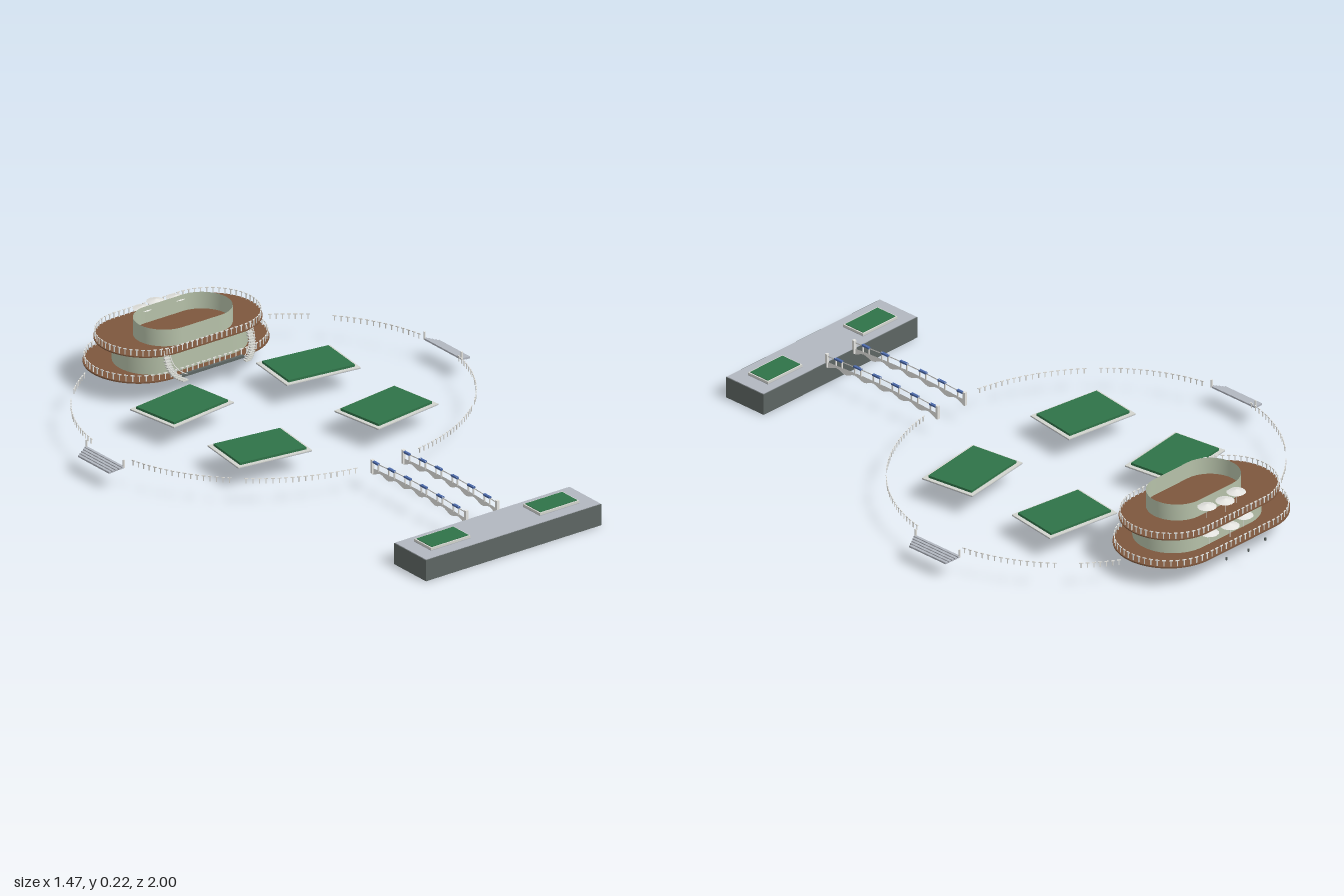
import * as THREE from 'three';
import { mergeGeometries, toCreasedNormals } from 'three/addons/utils/BufferGeometryUtils.js';

const mat = (name, color, side = THREE.FrontSide) => {
  const m = new THREE.MeshStandardMaterial({ color, side });
  m.name = name;
  return m;
};

export function createModel() {
  const root = new THREE.Group();
  root.name = 'lakePlatform';
  const stone = mat('pale stone', 0xb2b7c0);
  const dark = mat('dark stone', 0x5d6563);
  const grass = mat('grass green', 0x2f7348);
  const kerb = mat('kerb grey', 0xd2d4ce);
  const wood = mat('brown deck', 0x7d573d);
  const wall = mat('sage wall', 0xb6c1a9, THREE.DoubleSide);
  const white = mat('off white', 0xe4e4e0, THREE.DoubleSide);
  const blue = mat('blue panel', 0x4a68a8);

  const add = (name, geo, material, parent = root) => {
    const m = new THREE.Mesh(geo, material);
    m.name = name;
    parent.add(m);
    return m;
  };
  // Box given by its centre in x and z and its bottom and top in y
  const box = (w, d, y0, y1, x = 0, z = 0) =>
    new THREE.BoxGeometry(w, y1 - y0, d).translate(x, (y0 + y1) / 2, z);

  // Stadium outline with half width w and half depth d
  const stadium = (w, d) => {
    const s = new THREE.Shape(), k = w - d;
    s.moveTo(-k, -d);
    s.lineTo(k, -d);
    s.absarc(k, 0, d, -Math.PI / 2, Math.PI / 2, false);
    s.lineTo(-k, d);
    s.absarc(-k, 0, d, Math.PI / 2, Math.PI * 1.5, false);
    return s;
  };
  const deck = (name, w, d, y0, y1, z) => add(name, toCreasedNormals(
    new THREE.ExtrudeGeometry(stadium(w, d), { depth: y1 - y0, bevelEnabled: false, curveSegments: 24 })
      .rotateX(-Math.PI / 2).translate(0, y0, z), 0.5), wood);

  // Upright sheet: at(t) gives x, z, bottom and top for t from 0 to 1
  const sheet = (name, n, at, material) => {
    const g = new THREE.PlaneGeometry(1, 1, n, 1), p = g.attributes.position;
    for (let i = 0; i < p.count; i++) {
      const [x, z, y0, y1] = at(p.getX(i) + 0.5);
      p.setXYZ(i, x, p.getY(i) > 0 ? y1 : y0, z);
    }
    g.computeVertexNormals();
    add(name, g, material);
  };

  // Railing: evenly spaced posts, each carrying a short piece of handrail
  const railing = (name, pts, y0, y1, step, closed = false) => {
    const curve = new THREE.CatmullRomCurve3(pts.map(p => new THREE.Vector3(p[0], 0, p[1])), closed);
    const n = Math.round(curve.getLength() / step);
    const parts = [];
    for (let i = 0; i < n; i++) {
      const p = curve.getPointAt(i / n), dir = curve.getTangentAt(i / n);
      const turn = Math.atan2(-dir.z, dir.x);
      for (const g of [box(0.0035, 0.0025, y0, y1), box(step * 0.6, 0.003, y1 - 0.003, y1)]) {
        parts.push(g.rotateY(turn).translate(p.x, 0, p.z));
      }
    }
    add(name, mergeGeometries(parts), white);
  };

  // Front pier with a pale top
  add('pierBase', box(0.714, 0.17, 0, 0.074, 0, 0.915), dark);
  add('pierTop', box(0.71, 0.164, 0.074, 0.076, 0, 0.915), stone);

  // Grass bed inside a kerb, on a stone base
  const bed = (name, x, z, w, d, y0, kerbTop, grassTop, rim, turn) => {
    const g = new THREE.Group();
    g.name = name;
    add('base', box(w, d, y0 - 0.002, y0), stone, g);
    add('kerb', box(w, d, y0, kerbTop), kerb, g);
    add('grass', box(w - 2 * rim, d - 2 * rim, kerbTop, grassTop), grass, g);
    g.position.set(x, 0, z);
    g.rotation.y = turn;
    root.add(g);
  };
  for (const s of [-1, 1]) {
    bed('pierPlanter', s * 0.221, 0.91, 0.16, 0.09, 0.078, 0.086, 0.088, 0.005, 0);
    bed('rearLawn', s * 0.257, -0.42, 0.274, 0.2, 0.077, 0.08, 0.088, 0.014, -s * 0.135);
    bed('frontLawn', s * 0.257, -0.008, 0.274, 0.2, 0.077, 0.08, 0.088, 0.014, s * 0.135);
  }

  // Bridge sides: scalloped girder, arched handrail, blue panels and end posts
  const crown = t => 0.01 * Math.sin(Math.PI * t);
  const z0 = 0.335, span = 0.495;
  for (const s of [-1, 1]) {
    const x = s * 0.063;
    sheet('bridgeGirder', 48, t => [x, z0 + span * t,
      0.062 + crown(t) - 0.006 * Math.cos(t * 12 * Math.PI), 0.078 + crown(t)], white);
    sheet('bridgeHandrail', 24, t => [x, z0 + span * t, 0.097 + crown(t), 0.101 + crown(t)], white);
    for (let i = 0; i < 6; i++) {
      const z = 0.352 + i * 0.085, c = crown((z - z0) / span);
      add('bridgePanel', box(0.009, 0.033, 0.098 + c, 0.104 + c, x, z), blue);
      for (const e of [-1, 1]) {
        add('bridgePost', box(0.004, 0.005, 0.075 + c, 0.104 + c, x, z + e * 0.014), white);
      }
    }
    for (const z of [z0, z0 + span]) add('bridgeEndPost', box(0.01, 0.01, 0.06, 0.108, x, z), white);
  }

  // Oval ring of railing, broken at the bridge, the landings and the terrace
  const arcs = [[0.195, 0.78], [0.83, 1.41], [1.73, 2.26], [2.36, 2.58]];
  for (const s of [-1, 1]) for (const [a, b] of arcs) {
    const pts = Array.from({ length: 13 }, (_, i) => {
      const t = a + (b - a) * i / 12;
      return [s * 0.675 * Math.sin(t), -0.27 + 0.615 * Math.cos(t)];
    });
    railing('ringRailing', pts, 0.078, 0.097, 0.022);
  }

  // Side landings: steps narrowing down to the water
  for (const s of [-1, 1]) {
    for (let i = 0; i < 5; i++) {
      const y = 0.075 - i * 0.0033;
      add('landingStep', box(0.0098, 0.2 - i * 0.009, y - 0.006, y, s * (0.69 + i * 0.0098), -0.267), stone);
    }
    for (const e of [-1, 1]) {
      add('landingPost', box(0.005, 0.005, 0.07, 0.098, s * 0.687, -0.267 + e * 0.098), white);
    }
  }

  // Pavilion floors, with a dark sill along the front of the lower one
  const lowZ = -0.786, upZ = -0.776;
  deck('lowerDeck', 0.333, 0.18, 0.077, 0.082, lowZ);
  deck('upperDeck', 0.3, 0.168, 0.161, 0.165, upZ);
  add('frontSill', box(0.27, 0.01, 0.074, 0.083, 0, -0.605), dark);

  // Open drum walls
  const drum = (name, w, d, y0, y1, z) => {
    const outline = stadium(w, d);
    sheet(name, 96, t => {
      const p = outline.getPointAt(t);
      return [p.x, z + p.y, y0, y1];
    }, wall);
  };
  drum('lowerDrum', 0.243, 0.131, 0.082, 0.151, -0.766);
  drum('upperDrum', 0.177, 0.1, 0.165, 0.224, -0.75);

  // Deck railings
  const loop = (w, d, z) => stadium(w, d).getSpacedPoints(60).slice(0, 60).map(p => [p.x, z + p.y]);
  railing('lowerDeckRailing', loop(0.328, 0.175, lowZ), 0.08, 0.104, 0.022, true);
  railing('upperDeckRailing', loop(0.296, 0.164, upZ), 0.163, 0.187, 0.02, true);

  // Parasols behind both drums
  const parasol = (x, y, z) => {
    const g = new THREE.Group();
    g.name = 'parasol';
    add('canopy', new THREE.ConeGeometry(0.032, 0.009, 12).translate(0, 0.046, 0), white, g);
    add('pole', new THREE.CylinderGeometry(0.001, 0.001, 0.042, 6).translate(0, 0.021, 0), white, g);
    g.position.set(x, y, z);
    root.add(g);
  };
  for (const i of [-1, 0, 1]) {
    const back = i ? 0 : -0.016;
    parasol(i * 0.068, 0.165, -0.876 + back);
    parasol(i * 0.08, 0.082, -0.898 + back);
    // Small mooring posts at the back
    add('mooringPost', box(0.005, 0.005, 0.06, 0.07, i * 0.09, i ? -0.985 : -0.997), dark);
  }

  // Curved stairs from the ground up to the upper deck
  for (const s of [-1, 1]) {
    const curve = new THREE.QuadraticBezierCurve3(
      new THREE.Vector3(s * 0.128, 0.08, -0.574),
      new THREE.Vector3(s * 0.178, 0.1, -0.596),
      new THREE.Vector3(s * 0.167, 0.163, -0.618));
    const steps = [];
    for (let i = 0; i <= 12; i++) {
      const p = curve.getPoint(i / 12);
      steps.push(box(0.022, 0.014, p.y - 0.004, p.y, p.x, p.z));
    }
    add('stairSteps', mergeGeometries(steps), kerb);
    for (const e of [-1, 1]) {
      const rail = new THREE.TubeGeometry(curve, 16, 0.0015, 5).translate(e * 0.011, 0.016, 0);
      add('stairHandrail', rail, white);
    }
  }
  return root;
}
